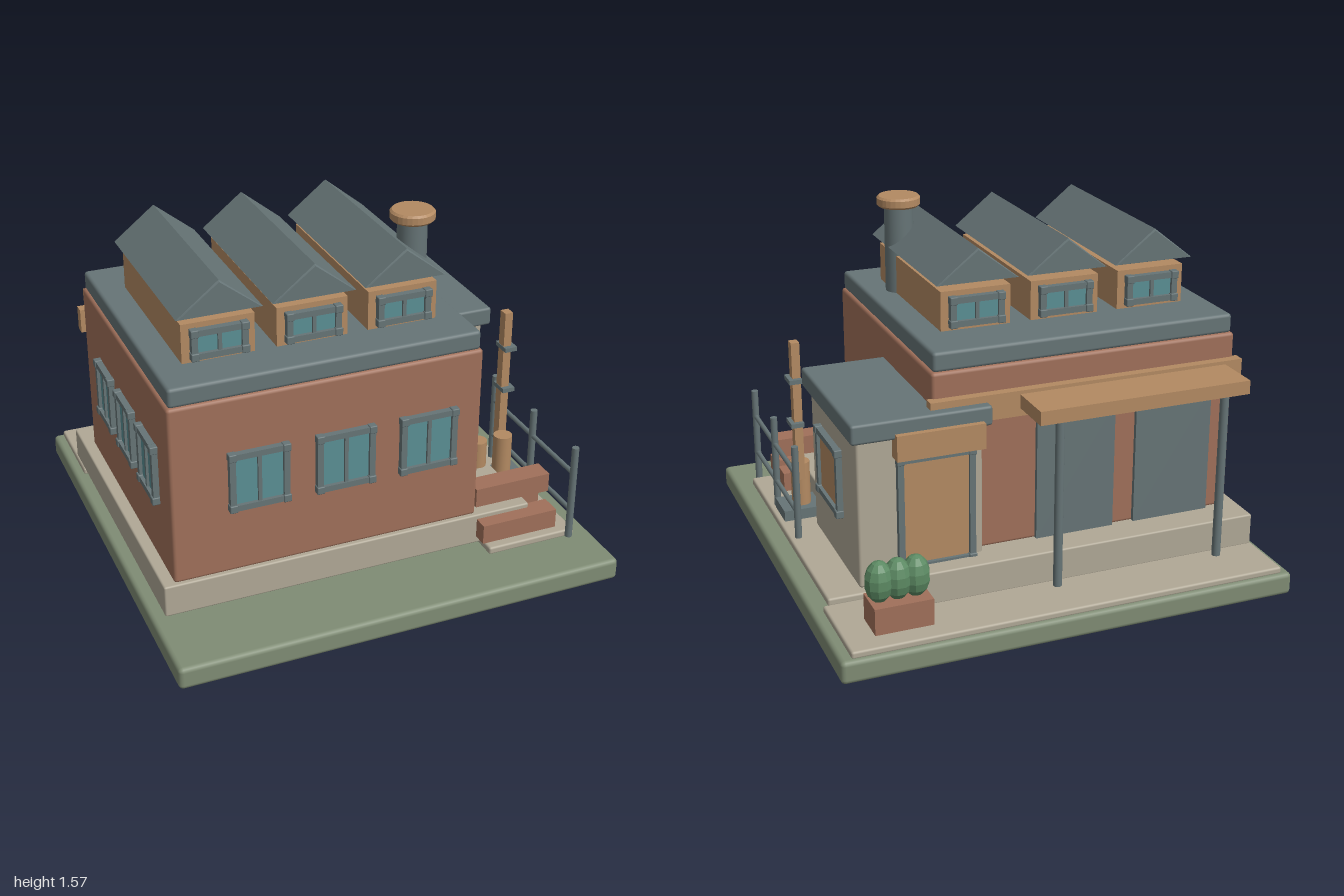
import * as THREE from 'three';
import { RoundedBoxGeometry } from 'three/addons/geometries/RoundedBoxGeometry.js';

const mat = (name, color) => {
  const m = new THREE.MeshStandardMaterial({ color });
  m.name = name;
  return m;
};

export function createModel() {
  const root = new THREE.Group();
  root.name = 'workshop';
  const grass = mat('grass', 0x7f8c74);
  const stone = mat('stone', 0xb0a896);
  const brick = mat('brick', 0xa0705a);
  const slate = mat('slate', 0x667476);
  const wood = mat('wood', 0xb38a62);
  const glass = mat('glass', 0x5a8f94);
  const leaf = mat('leaf', 0x5c8a63);

  const add = (name, geo, material, x, y, z, parent = root) => {
    const m = new THREE.Mesh(geo, material);
    m.name = name;
    m.position.set(x, y, z);
    parent.add(m);
    return m;
  };
  // Box given by its extents; r > 0 rounds the edges
  const box = (name, material, [x0, x1], [y0, y1], [z0, z1], r = 0, parent = root) => {
    const s = [x1 - x0, y1 - y0, z1 - z0];
    const geo = r ? new RoundedBoxGeometry(...s, 2, r) : new THREE.BoxGeometry(...s);
    return add(name, geo, material, (x0 + x1) / 2, (y0 + y1) / 2, (z0 + z1) / 2, parent);
  };
  const rod = (name, material, x, y0, y1, z, r, sides = 20) =>
    add(name, new THREE.CylinderGeometry(r, r, y1 - y0, sides), material, x, (y0 + y1) / 2, z);

  // Framed opening facing +z, with its back on z = 0
  const framed = (name, w, h, pane, panes, x, y, z, turn = 0, bar = 0.026) => {
    const g = new THREE.Group();
    g.name = name;
    const iw = w / 2 - bar * 0.65, ih = h / 2 - bar * 0.65;
    for (const s of [-1, 1]) {
      box('frameUpright', slate, [s * iw - bar / 2, s * iw + bar / 2], [-ih, ih], [0, 0.028], 0, g);
      box('frameRail', slate, [-iw, iw], [s * ih - bar / 2, s * ih + bar / 2], [0, 0.03], 0, g);
      for (const t of [-1, 1]) {
        add('frameCorner', new RoundedBoxGeometry(bar * 1.3, bar * 1.3, 0.035, 1, 0.004), slate, s * iw, t * ih, 0.0175, g);
      }
    }
    box('pane', pane, [-iw, iw], [-ih, ih], [0.005, 0.014], 0, g);
    if (panes === 2) box('mullion', slate, [-0.008, 0.008], [-ih, ih], [0.005, 0.025], 0, g);
    g.position.set(x, y, z);
    g.rotation.y = turn;
    root.add(g);
  };

  // Ground and paving
  box('ground', grass, [-1, 1], [0.005, 0.105], [-1, 1], 0.02);
  box('backPaving', stone, [-0.957, 0.952], [0.1, 0.132], [-0.98, -0.58], 0.01);
  box('sidePaving', stone, [0.5, 0.92], [0.1, 0.135], [-0.545, 0.75], 0.01);
  box('plinth', stone, [-0.95, 0.725], [0.127, 0.27], [-0.73, 0.675], 0.008);

  // Main hall
  box('hallWalls', brick, [-0.9, 0.47], [0.265, 1.068], [-0.58, 0.657], 0.015);
  box('hallRoof', slate, [-0.89, 0.46], [1.065, 1.15], [-0.57, 0.648], 0.015);
  box('backFascia', wood, [-0.92, 0.49], [0.85, 0.96], [-0.62, -0.57]);
  for (const x of [-0.53, -0.153, 0.222]) framed('frontWindow', 0.265, 0.27, glass, 2, x, 0.695, 0.655);
  for (const z of [-0.225, 0.085, 0.395]) framed('sideWindow', 0.23, 0.27, glass, 2, -0.898, 0.695, z, -Math.PI / 2);

  // Roof lights with gabled caps
  const gable = new THREE.Shape();
  gable.moveTo(-0.172, 0.01);
  gable.lineTo(0.172, 0.01);
  gable.lineTo(0, 0.143);
  gable.closePath();
  const gableGeo = new THREE.ExtrudeGeometry(gable, {
    depth: 0.849, bevelEnabled: true, bevelThickness: 0.008, bevelSize: 0.006, bevelSegments: 1,
  });
  for (const x of [-0.615, -0.214, 0.186]) {
    box('roofLight', wood, [x - 0.154, x + 0.154], [1.145, 1.32], [-0.333, 0.46]);
    add('gableCap', gableGeo, slate, x, 1.348, -0.362);
    framed('roofLightWindow', 0.245, 0.135, glass, 2, x, 1.233, 0.46);
    framed('roofLightWindow', 0.245, 0.135, glass, 2, x, 1.233, -0.333, Math.PI);
  }

  // Chimney
  rod('chimney', slate, 0.306, 1.14, 1.54, 0.287, 0.064, 28);
  const capProfile = [[0, 1.532], [0.087, 1.532], [0.096, 1.541], [0.096, 1.57], [0.087, 1.579], [0, 1.579]]
    .map(([r, y]) => new THREE.Vector2(r, y));
  for (let i = 0; i < 1; i++) {
    const cap = new THREE.LatheGeometry(capProfile, 28).toNonIndexed();
    cap.computeVertexNormals();
    add('chimneyCap', cap, wood, 0.306, 0, 0.287);
  }

  // Loading doors and their porch at the back
  for (const x of [-0.16, -0.615]) box('loadingDoor', slate, [x - 0.178, x + 0.178], [0.27, 0.84], [-0.598, -0.575]);
  box('porchRoof', wood, [-0.84, 0.105], [0.885, 0.945], [-0.828, -0.615]);
  for (const x of [-0.005, -0.755]) rod('porchPost', slate, x, 0.13, 0.89, -0.772, 0.019);

  // Side annex
  box('annexWalls', stone, [0.27, 0.805], [0.2, 0.855], [-0.622, 0.023], 0.012);
  box('annexRoof', slate, [0.24, 0.835], [0.845, 0.93], [-0.662, 0.055], 0.012);
  framed('annexWindow', 0.315, 0.305, wood, 1, 0.803, 0.58, -0.268, Math.PI / 2);
  framed('annexDoor', 0.34, 0.51, wood, 1, 0.475, 0.505, -0.62, Math.PI);
  box('annexDoorHood', wood, [0.28, 0.655], [0.76, 0.87], [-0.688, -0.615]);

  // Upright pole with clamps
  box('pole', wood, [0.8, 0.838], [0.34, 0.988], [0.2, 0.246]);
  for (const y of [0.815, 0.61]) box('poleClamp', slate, [0.798, 0.857], [y - 0.01, y + 0.01], [0.178, 0.268]);

  // Barrels on a low stand
  box('barrelStand', slate, [0.47, 0.9], [0.143, 0.192], [0.208, 0.37]);
  for (const x of [0.54, 0.67, 0.8]) rod('barrel', wood, x, 0.19, 0.395, 0.287, 0.043);

  // Stacked blocks
  for (const [y, z] of [[0.205, 0.692], [0.205, 0.535], [0.345, 0.613]]) {
    box('stackedBlock', brick, [0.47, 0.828], [y - 0.044, y + 0.044], [z - 0.048, z + 0.048]);
  }

  // Railing
  for (const z of [0.772, 0.412, 0.052]) rod('railingPost', slate, 0.88, 0.12, 0.57, z, 0.016, 12);
  for (const y of [0.44, 0.257]) {
    const rail = add('railingBar', new THREE.CylinderGeometry(0.011, 0.011, 0.72, 12), slate, 0.88, y, 0.412);
    rail.rotation.x = Math.PI / 2;
  }

  // Planter with three shrubs
  box('planter', brick, [0.582, 0.828], [0.13, 0.247], [-0.892, -0.745]);
  for (const x of [0.632, 0.708, 0.785]) {
    const shrub = new THREE.SphereGeometry(1, 10, 7).toNonIndexed();
    shrub.scale(0.06, 0.09, 0.057);
    shrub.computeVertexNormals();
    add('shrub', shrub, leaf, x, 0.327, -0.817);
  }

  return root;
}
